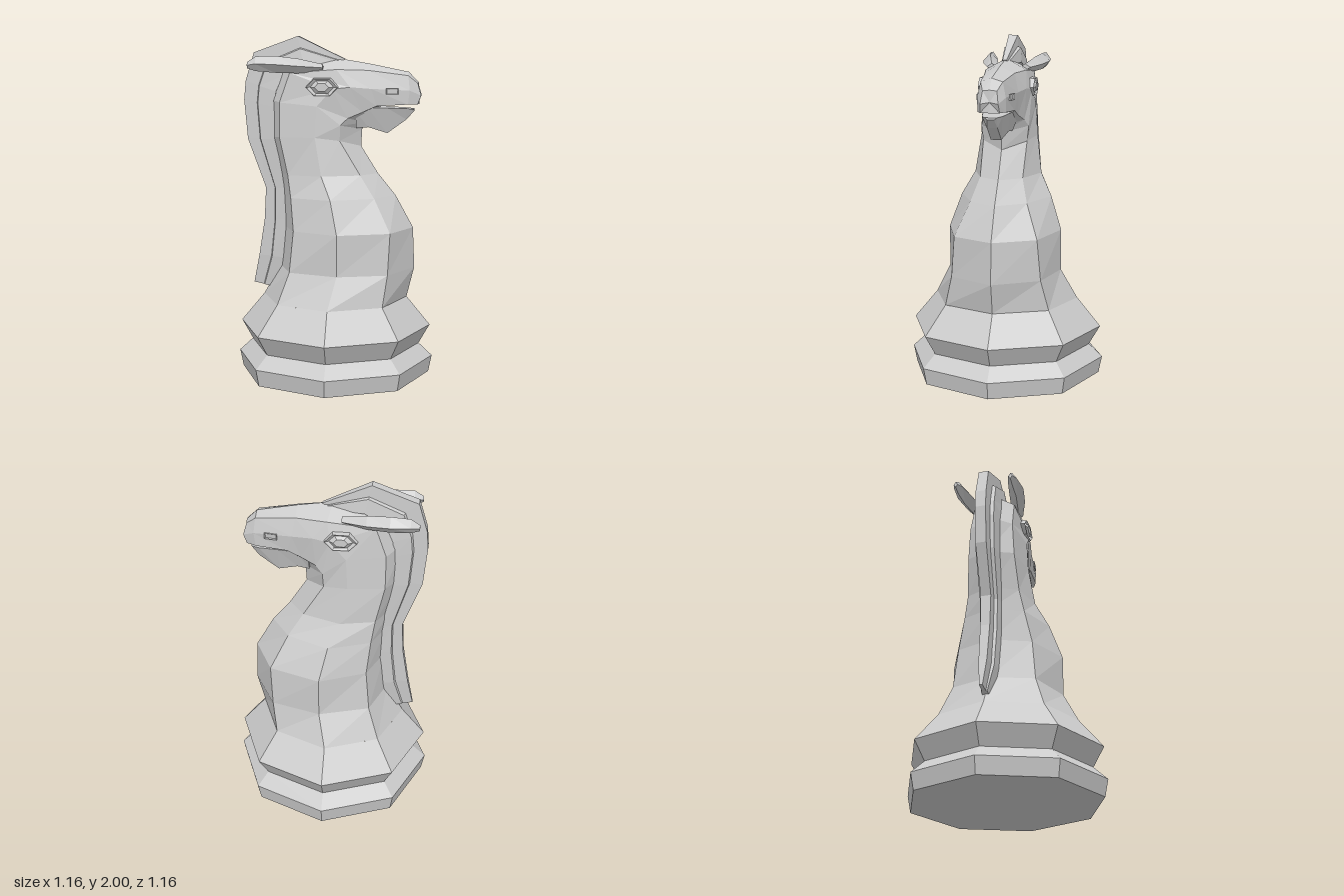
import * as THREE from 'three';

const material = new THREE.MeshStandardMaterial({ color: 0xcccccc, flatShading: true });

function makeMesh(name, geometry) {
  const mesh = new THREE.Mesh(geometry, material);
  mesh.name = name;
  return mesh;
}

// Joins closed cross-sections (arrays of [x, y, z]) into a capped skin.
function loft(rings) {
  const n = rings[0].length;
  const points = rings.flat();
  const index = [];
  for (let i = 0; i < rings.length - 1; i++) {
    for (let j = 0; j < n; j++) {
      const a = i * n + j, b = i * n + (j + 1) % n;
      index.push(a, a + n, b, b, a + n, b + n);
    }
  }
  const last = (rings.length - 1) * n;
  const centre = (ring) => [0, 1, 2].map((k) => ring.reduce((s, p) => s + p[k], 0) / n);
  const start = points.push(centre(rings[0])) - 1;
  const end = points.push(centre(rings[rings.length - 1])) - 1;
  for (let j = 0; j < n; j++) {
    const next = (j + 1) % n;
    index.push(start, j, next, end, last + next, last + j);
  }
  const geometry = new THREE.BufferGeometry();
  geometry.setAttribute('position', new THREE.Float32BufferAttribute(points.flat(), 3));
  geometry.setIndex(index);
  geometry.computeVertexNormals();
  return geometry;
}

// Completes a half section whose first and last points lie on the middle plane.
function mirrorRing(half) {
  const other = half.slice(1, -1).reverse().map(([x, y, z]) => [x, y, -z]);
  return [...half, ...other];
}

// Flat rim around a dip, with an optional bulge inside; faces +z.
function socket(sides, phase, width, height, bulge) {
  const profile = [[1, 0], [0.92, 0.035], [0.7, 0.022], [0.42, bulge], [0, bulge]]
    .map(([r, y]) => new THREE.Vector2(r, y));
  return new THREE.LatheGeometry(profile, sides, phase).scale(width, 1, height).rotateX(Math.PI / 2);
}

// Octagonal stepped foot
function buildBase() {
  const profile = [[0, 0], [0.565, 0], [0.585, 0.1], [0.505, 0.175], [0.57, 0.29], [0.43, 0.46]]
    .map(([r, y]) => new THREE.Vector2(r, y));
  return makeMesh('base', new THREE.LatheGeometry(profile, 8));
}

// Chest, neck and head: sections run from throat side to crest side and tilt forward
function buildBody() {
  const level = (y, front, a, b, c, back) =>
    [[front, y, 0], [a[0], y, a[1]], [b[0], y, b[1]], [c[0], y, c[1]], [back, y, 0]];
  const sections = [
    level(0.46, 0.43, [0.304, 0.304], [0, 0.43], [-0.304, 0.304], -0.43),
    level(0.64, 0.474, [0.33, 0.26], [0.044, 0.336], [-0.242, 0.243], -0.33),
    level(0.88, 0.464, [0.342, 0.24], [0.044, 0.336], [-0.22, 0.22], -0.31),
    level(1.07, 0.36, [0.245, 0.165], [0, 0.27], [-0.24, 0.18], -0.32),
    level(1.2, 0.255, [0.16, 0.125], [-0.06, 0.2], [-0.26, 0.155], -0.34),
    [[0.155, 1.36, 0], [0.04, 1.4, 0.13], [-0.1, 1.42, 0.17], [-0.31, 1.42, 0.14], [-0.39, 1.41, 0]],
    [[0.16, 1.46, 0], [0.045, 1.49, 0.14], [-0.09, 1.6, 0.16], [-0.31, 1.62, 0.13], [-0.4, 1.64, 0]],
    [[0.19, 1.5, 0], [0.085, 1.53, 0.12], [0, 1.7, 0.152], [-0.25, 1.79, 0.125], [-0.33, 1.83, 0]],
    [[0.24, 1.53, 0], [0.17, 1.565, 0.1], [0.1, 1.71, 0.135], [0.02, 1.81, 0.12], [0, 1.875, 0]],
    [[0.27, 1.6, 0], [0.25, 1.6, 0.095], [0.22, 1.7, 0.11], [0.2, 1.805, 0.085], [0.2, 1.842, 0]],
    [[0.44, 1.61, 0], [0.43, 1.61, 0.08], [0.44, 1.69, 0.08], [0.43, 1.775, 0.062], [0.43, 1.795, 0]],
    [[0.495, 1.61, 0], [0.485, 1.61, 0.055], [0.505, 1.66, 0.05], [0.485, 1.73, 0.04], [0.49, 1.735, 0]],
  ];
  return makeMesh('neckAndHead', loft(sections.map(mirrorRing)));
}

// Lower jaw, leaving a thin mouth slit under the muzzle
function buildJaw() {
  const sections = [
    [0.13, 1.47, 1.57, 0.06, 0.1],
    [0.2, 1.475, 1.59, 0.05, 0.088],
    [0.31, 1.44, 1.59, 0.03, 0.075],
    [0.42, 1.52, 1.585, 0.03, 0.058],
    [0.465, 1.57, 1.582, 0.02, 0.035],
  ];
  const rings = sections.map(([x, low, high, narrow, wide]) =>
    [[x, low, -narrow], [x, low, narrow], [x, high, wide], [x, high, -wide]]);
  return makeMesh('lowerJaw', loft(rings));
}

// Stepped mane from forehead to lower back: outer x, y, inner x, y, half width
function buildMane() {
  const path = [
    [0.06, 1.868, 0.02, 1.84, 0.012],
    [-0.215, 2.0, -0.18, 1.84, 0.028],
    [-0.475, 1.905, -0.3, 1.77, 0.03],
    [-0.525, 1.74, -0.34, 1.68, 0.032],
    [-0.535, 1.63, -0.35, 1.59, 0.032],
    [-0.515, 1.4, -0.34, 1.4, 0.032],
    [-0.41, 1.11, -0.28, 1.11, 0.03],
    [-0.42, 0.92, -0.27, 0.92, 0.028],
    [-0.455, 0.7, -0.28, 0.69, 0.024],
    [-0.49, 0.53, -0.35, 0.5, 0.01],
  ];
  const rings = path.map(([ox, oy, ix, iy, h]) => {
    const at = (t, z) => [ox + (ix - ox) * t, oy + (iy - oy) * t, z];
    const side = [[0, h], [0.42, 1.1 * h], [0.46, 1.75 * h], [1, 2.1 * h]];
    return [
      ...side.map(([t, z]) => at(t, z)),
      ...side.slice().reverse().map(([t, z]) => at(t, -z)),
    ];
  });
  return makeMesh('mane', loft(rings));
}

// Swept-back ear; each section is a diamond: x, y, z, half height, half width
function buildEar(side) {
  const sections = [
    [-0.06, 1.82, 0.1, 0.02, 0.03],
    [-0.2, 1.83, 0.135, 0.042, 0.045],
    [-0.33, 1.84, 0.16, 0.048, 0.045],
    [-0.44, 1.843, 0.167, 0.042, 0.028],
    [-0.49, 1.835, 0.168, 0.018, 0.012],
  ];
  const rings = sections.map(([x, y, z, h, w]) => {
    const ring = [[x, y + h, z], [x, y, z + w], [x, y - h, z], [x, y, z - w]];
    return side > 0 ? ring : ring.map(([a, b, c]) => [a, b, -c]).reverse();
  });
  return makeMesh(side > 0 ? 'rightEar' : 'leftEar', loft(rings));
}

export function createModel() {
  const knight = new THREE.Group();
  knight.name = 'knight';
  knight.add(buildBase(), buildBody(), buildJaw(), buildMane());

  for (const side of [1, -1]) {
    const label = side > 0 ? 'right' : 'left';
    knight.add(buildEar(side));

    // Hexagonal eye and small square-cornered nostril
    const eye = makeMesh(label + 'Eye', socket(6, Math.PI / 2, 0.098, 0.06, 0.04));
    eye.position.set(-0.06, 1.71, side * 0.13);
    const nostril = makeMesh(label + 'Nostril', socket(4, Math.PI / 4, 0.055, 0.026, 0.015));
    nostril.position.set(0.337, 1.685, side * 0.066);
    nostril.rotation.y = 0.136;
    if (side < 0) {
      eye.rotation.y = Math.PI;
      nostril.rotation.y = Math.PI - 0.136;
    }
    knight.add(eye, nostril);
  }

  // The piece looks diagonally between front and left
  knight.rotation.y = -THREE.MathUtils.degToRad(37.5);
  const model = new THREE.Group();
  model.name = 'chessKnight';
  model.add(knight);
  return model;
}
